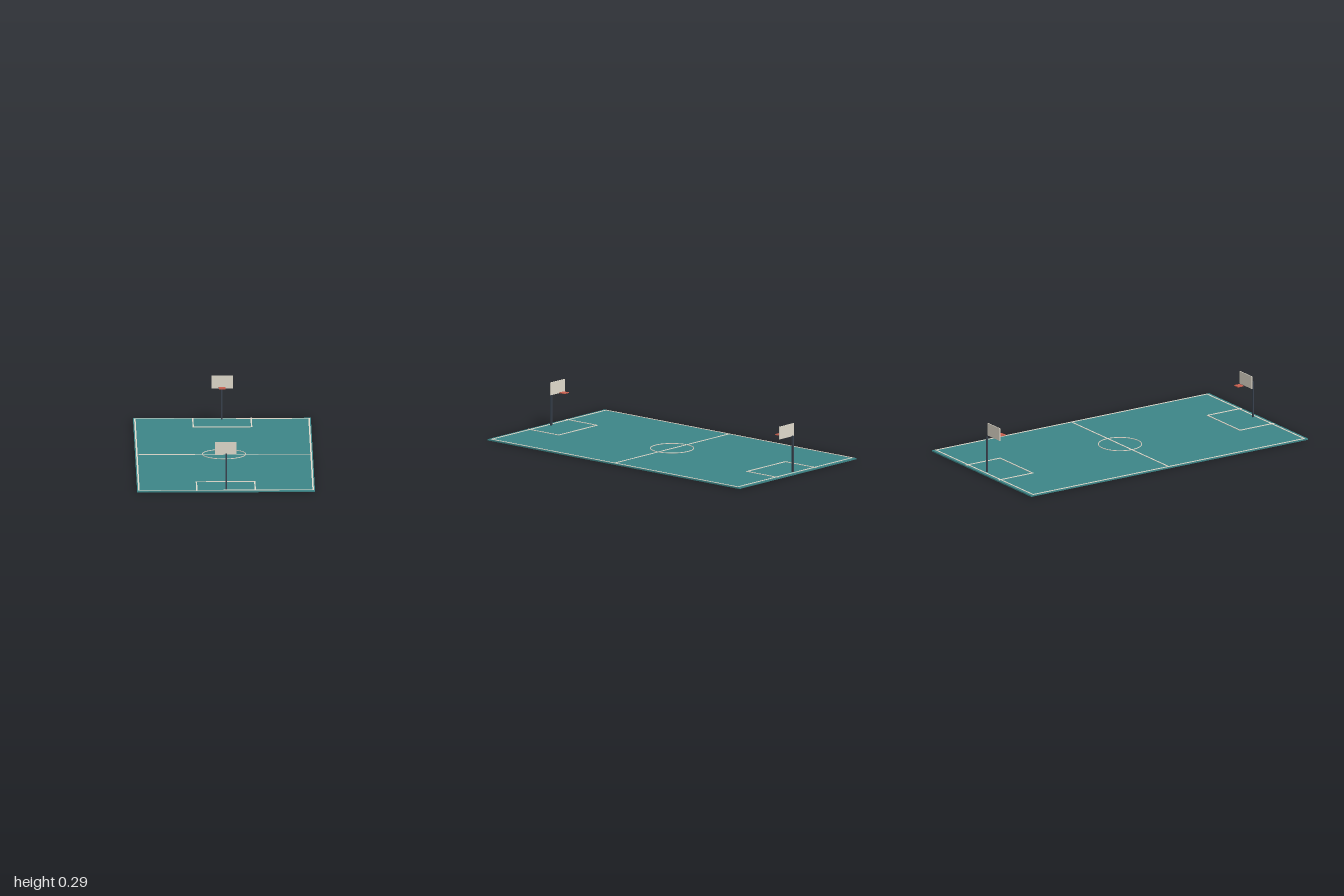
import * as THREE from 'three';

const mat = (name, color) => {
  const m = new THREE.MeshStandardMaterial({ color });
  m.name = name;
  return m;
};

export function createModel() {
  const teal = mat('courtTeal', 0x3d8587);
  const cream = mat('cream', 0xe0dacc);
  const steel = mat('darkSteel', 0x38414d);
  const red = mat('hoopRed', 0xc9604f);

  const model = new THREE.Group();
  model.name = 'basketballCourt';

  const box = (parent, name, material, [w, h, d], [x, y, z]) => {
    const mesh = new THREE.Mesh(new THREE.BoxGeometry(w, h, d), material);
    mesh.name = name;
    mesh.position.set(x, y, z);
    parent.add(mesh);
    return mesh;
  };

  // Court slab
  const top = 0.008;
  box(model, 'courtSlab', teal, [1.066, top, 2], [0, top / 2, 0]);

  // Painted lines, lying on the slab
  const line = (parent, name, w, d, x, z, h = 0.002) =>
    box(parent, name, cream, [w, h, d], [x, top + h / 2, z]);

  line(model, 'halfwayLine', 1.045, 0.009, 0, 0);
  for (const s of [-1, 1]) line(model, 'sideLine', 0.009, 1.965, s * 0.522, 0);

  // Centre circle, a thin raised ring
  const circle = new THREE.Mesh(new THREE.TorusGeometry(0.13, 0.0027, 6, 64), cream);
  circle.name = 'centreCircle';
  circle.rotation.x = -Math.PI / 2;
  circle.position.y = top + 0.002;
  model.add(circle);

  // The two ends, each turned to face the centre
  for (const turn of [0, Math.PI]) {
    const end = new THREE.Group();
    end.name = turn ? 'backEnd' : 'frontEnd';
    end.rotation.y = turn;
    model.add(end);

    line(end, 'endLine', 1.045, 0.009, 0, 0.978);

    // Key
    line(end, 'keyFrontLine', 0.358, 0.008, 0, 0.748, 0.003);
    for (const s of [-1, 1]) line(end, 'keySideLine', 0.008, 0.248, s * 0.175, 0.87, 0.003);

    // Post, backboard and square hoop plate
    box(end, 'post', steel, [0.009, 0.222, 0.009], [0, top + 0.111, 0.96]);
    box(end, 'backboard', cream, [0.129, 0.078, 0.005], [0, 0.25, 0.909]);
    box(end, 'hoop', red, [0.041, 0.005, 0.041], [0, 0.223, 0.858]);
  }

  return model;
}
